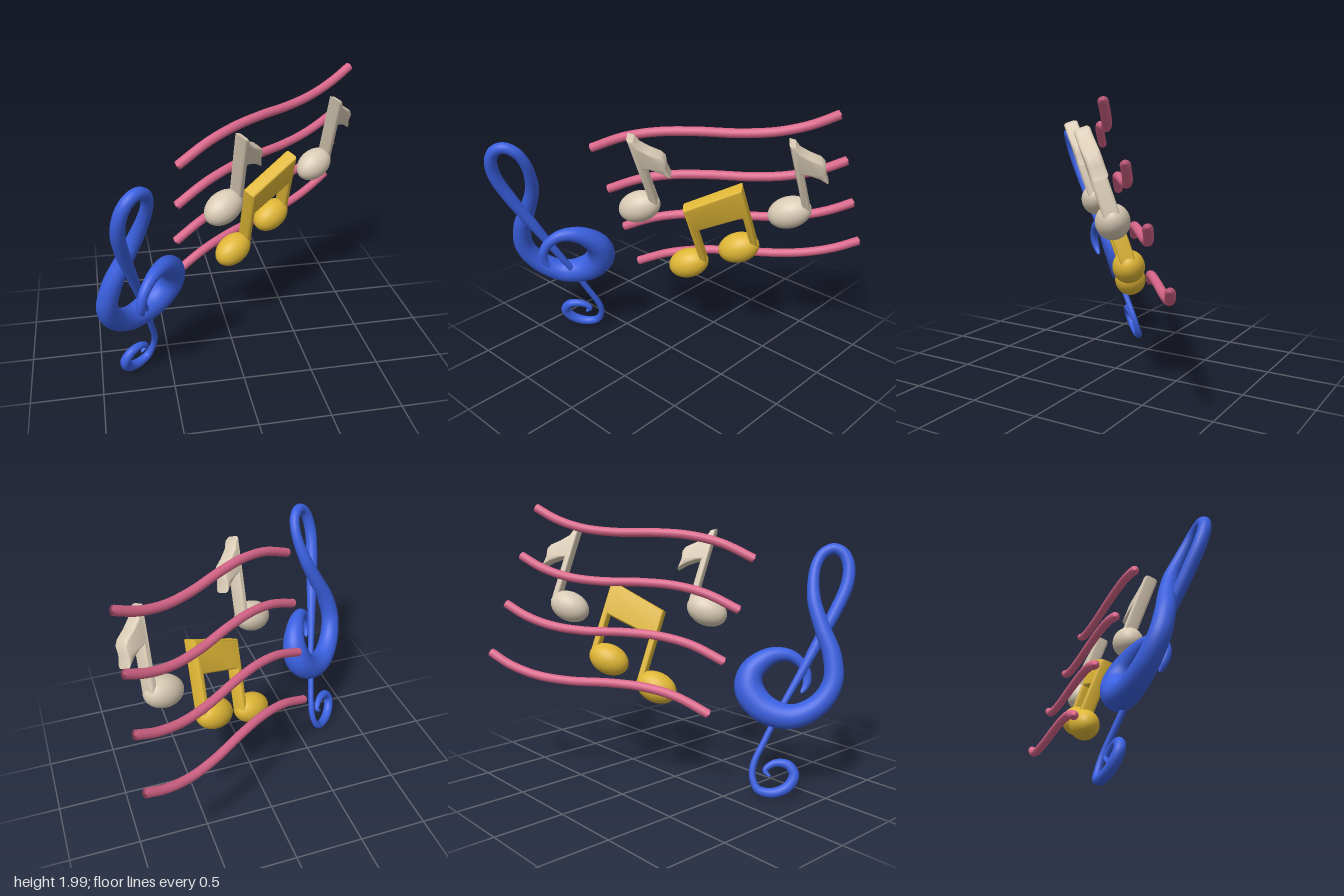
import * as THREE from 'three';
import { toCreasedNormals } from 'three/addons/utils/BufferGeometryUtils.js';

const mat = (name, color) => {
  const m = new THREE.MeshStandardMaterial({ color });
  m.name = name;
  return m;
};

// All parts lie in tilted planes z = a + b*x + c*y; w moves a point forward
const planePoint = (x, y, a, b, c, w = 0) =>
  new THREE.Vector3(x, y, a + b * x + c * y + w);

// Round tube with varying radius, closed at both ends
function taperedTube(points, radii, steps, sides) {
  const curve = new THREE.CatmullRomCurve3(points, false, 'centripetal');
  curve.arcLengthDivisions = 800;
  const radiusCurve = new THREE.CatmullRomCurve3(
    radii.map((r) => new THREE.Vector3(r, 0, 0)), false, 'catmullrom');
  const geo = new THREE.TubeGeometry(curve, steps, 1, sides);
  const pos = geo.attributes.position;
  const v = new THREE.Vector3();
  for (let i = 0; i <= steps; i++) {
    const u = i / steps;
    const center = curve.getPointAt(u);
    const end = i === 0 || i === steps;
    const r = end ? 0 : radiusCurve.getPoint(curve.getUtoTmapping(u)).x;
    for (let j = 0; j <= sides; j++) {
      const k = i * (sides + 1) + j;
      v.fromBufferAttribute(pos, k).sub(center).multiplyScalar(r).add(center);
      pos.setXYZ(k, v.x, v.y, v.z);
    }
  }
  return geo;
}

// Slab with softly rounded edges from an outline, laid into its tilted plane
function slab(outline, a) {
  const shape = new THREE.Shape(outline.map(([x, y]) => new THREE.Vector2(x, y)));
  const geo = toCreasedNormals(new THREE.ExtrudeGeometry(shape, {
    depth: 0.05, bevelEnabled: true, bevelThickness: 0.026,
    bevelSize: 0.014, bevelOffset: -0.011, bevelSegments: 6,
  }), 0.8);
  geo.translate(0, 0, -0.025);
  const m = new THREE.Matrix4().makeBasis(
    new THREE.Vector3(1, 0, -0.75), new THREE.Vector3(0, 1, 0.41),
    new THREE.Vector3(0.57, -0.312, 0.76));
  m.setPosition(0, 0, a);
  return geo.applyMatrix4(m);
}

function noteHead(x, y, a, material) {
  const head = new THREE.Mesh(new THREE.SphereGeometry(1, 40, 24), material);
  head.name = 'noteHead';
  head.scale.set(0.153, 0.11, 0.108);
  head.quaternion.setFromUnitVectors(
    new THREE.Vector3(1, 0, 0), new THREE.Vector3(1, 0.45, -0.57).normalize());
  head.position.copy(planePoint(x, y, a, -0.75, 0.41));
  return head;
}

export function createModel() {
  const root = new THREE.Group();
  root.name = 'musicNotes';
  const blue = mat('clefBlue', 0x3a60e0);
  const pink = mat('staffPink', 0xd9668a);
  const gold = mat('noteGold', 0xdfb636);
  const cream = mat('noteCream', 0xd9cbb5);

  const add = (name, geo, material, parent = root) => {
    const mesh = new THREE.Mesh(geo, material);
    mesh.name = name;
    parent.add(mesh);
    return mesh;
  };

  // Clef: x, y, radius, forward offset from its plane
  // The lower curl is a spiral that opens quickly and then stays round
  const clef = [];
  for (let k = 0; k <= 8; k++) {
    const angle = THREE.MathUtils.degToRad(45 * k - 10);
    const r = 0.108 * (1 - Math.exp(-0.8 * (k + 0.2)));
    clef.push([-0.728 + r * Math.cos(angle), 0.15 + r * Math.sin(angle),
      0.01 + 0.027 * Math.sin(Math.PI * k / 9.5), 0]);
  }
  // Stem and upper loop
  clef.push(
    [-0.605, 0.22, 0.023, 0], [-0.63, 0.4, 0.022, 0], [-0.665, 0.6, 0.022, 0],
    [-0.715, 0.83, 0.028, 0], [-0.76, 1.05, 0.038, 0], [-0.805, 1.26, 0.044, 0],
    [-0.828, 1.46, 0.045, 0], [-0.805, 1.59, 0.043, 0], [-0.76, 1.665, 0.041, 0],
    [-0.705, 1.692, 0.039, 0], [-0.657, 1.66, 0.038, 0], [-0.642, 1.585, 0.038, -0.01],
    [-0.658, 1.48, 0.041, -0.03], [-0.71, 1.33, 0.049, -0.06]);
  // Large spiral
  clef.push(
    [-0.8, 1.15, 0.057, -0.075], [-0.885, 0.98, 0.065, -0.075], [-0.925, 0.8, 0.07, -0.07],
    [-0.88, 0.65, 0.076, -0.065], [-0.76, 0.565, 0.085, -0.06], [-0.6, 0.61, 0.1, -0.055],
    [-0.495, 0.73, 0.105, -0.05], [-0.472, 0.85, 0.088, -0.035], [-0.53, 0.95, 0.062, 0],
    [-0.61, 0.955, 0.044, 0.04], [-0.675, 0.89, 0.036, 0.08], [-0.705, 0.81, 0.033, 0.11],
    [-0.71, 0.74, 0.026, 0.12], [-0.695, 0.685, 0.012, 0.12]);
  add('clef', taperedTube(
    clef.map(([x, y, , w]) => planePoint(x, y, -0.417, -0.85, 0.41, w)),
    clef.map((p) => p[2]), 400, 24), blue);

  // Four wavy staff lines
  const wave = [[-0.42, 1.63], [-0.2, 1.735], [0, 1.785], [0.2, 1.8],
    [0.45, 1.8], [0.65, 1.825], [0.83, 1.885], [0.99, 1.972]];
  for (let i = 0; i < 4; i++) {
    const pts = wave.map(([x, y]) => planePoint(x, y - i * 0.345, -0.61, -0.72, 0.414));
    add('staffLine', taperedTube(pts, wave.map(() => 0.032), 160, 16), pink);
  }

  // Two single notes with flags
  const flagOutline = [[-0.016, 1.24], [-0.016, 1.81], [0.012, 1.8], [0.028, 1.755],
    [0.075, 1.715], [0.125, 1.685], [0.142, 1.655], [0.134, 1.6], [0.142, 1.53],
    [0.1, 1.565], [0.05, 1.59], [0.02, 1.595], [0.02, 1.31], [0.01, 1.26]];
  for (let i = 0; i < 2; i++) {
    const note = new THREE.Group();
    note.name = 'singleNote';
    note.position.set(0.815 * i, 0, -0.63 * i);
    add('stemAndFlag', slab(flagOutline, -0.36), cream, note);
    note.add(noteHead(-0.095, 1.248, -0.36, cream));
    root.add(note);
  }

  // Pair of notes joined by a beam
  const pair = new THREE.Group();
  pair.name = 'beamedNotes';
  const beamOutline = [[0.122, 0.73], [0.122, 1.235], [0.48, 1.435], [0.48, 0.95],
    [0.47, 0.91], [0.445, 0.9], [0.445, 1.2], [0.157, 1.06], [0.157, 0.78], [0.147, 0.74]];
  add('stemsAndBeam', slab(beamOutline, -0.408), gold, pair);
  pair.add(noteHead(0.04, 0.714, -0.408, gold), noteHead(0.367, 0.891, -0.408, gold));
  root.add(pair);

  return root;
}
